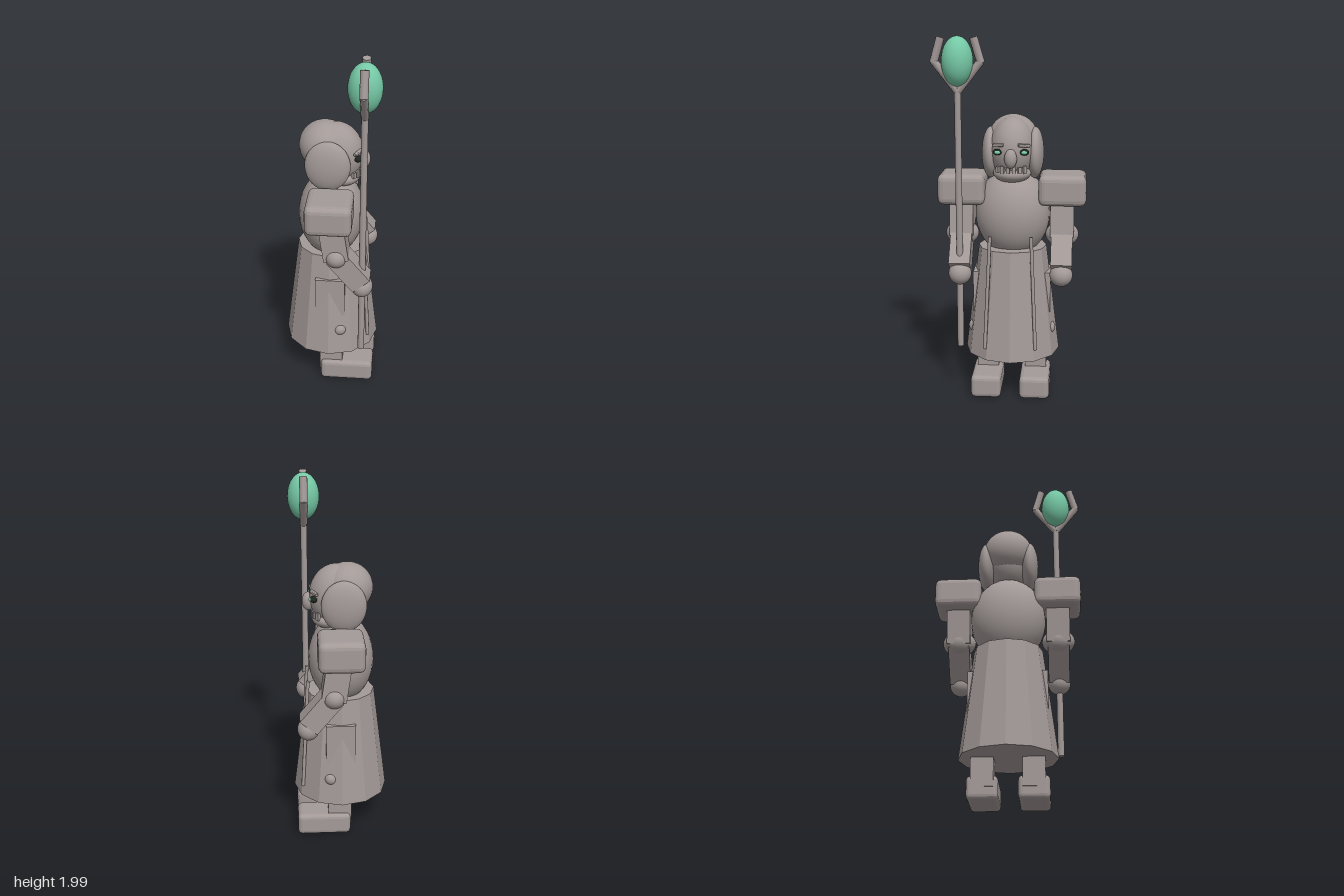
import * as THREE from 'three';
import { RoundedBoxGeometry } from 'three/addons/geometries/RoundedBoxGeometry.js';

const mat = (name, color) => {
  const m = new THREE.MeshStandardMaterial({ color });
  m.name = name;
  return m;
};

export function createModel() {
  const stone = mat('warm grey stone', 0xa39a98);
  const jade = mat('jade green', 0x76c9a6);
  const dark = mat('dark eye', 0x1d2422);

  const model = new THREE.Group();
  model.name = 'staffBearer';
  const MID = -0.0075; // the body's symmetry plane in z
  const body = new THREE.Group();
  body.name = 'body';
  body.position.z = MID;
  model.add(body);

  // Helpers
  const flat = (g) => {
    const f = g.index ? g.toNonIndexed() : g;
    f.computeVertexNormals();
    return f;
  };
  function add(parent, name, geo, material, x, y, z) {
    const m = new THREE.Mesh(geo, material);
    m.name = name;
    m.position.set(x, y, z);
    parent.add(m);
    return m;
  }
  const ball = (parent, name, p, r, material = stone) => {
    const g = new THREE.SphereGeometry(1, 32, 20).scale(...r);
    return add(parent, name, g, material, ...p);
  };
  const box = (parent, name, p, s, material = stone) =>
    add(parent, name, new THREE.BoxGeometry(...s), material, ...p);
  const chamferBox = (parent, name, p, s, r) =>
    add(parent, name, flat(new RoundedBoxGeometry(...s, 2, r)), stone, ...p);
  // A rod or box limb running from a to b
  function between(parent, name, a, b, makeGeo) {
    const va = new THREE.Vector3(...a), vb = new THREE.Vector3(...b);
    const dir = vb.clone().sub(va);
    const mid = va.clone().add(vb).multiplyScalar(0.5);
    const m = add(parent, name, makeGeo(dir.length()), stone, mid.x, mid.y, mid.z);
    m.quaternion.setFromUnitVectors(new THREE.Vector3(0, 1, 0), dir.normalize());
    return m;
  }
  const rod = (r, sides = 10) => (len) => new THREE.CylinderGeometry(r, r, len, sides);

  // Torso and twelve-sided robe skirt
  ball(body, 'torso', [-0.01, 1.02, 0], [0.182, 0.248, 0.208]);
  add(body, 'robeSkirt', flat(new THREE.CylinderGeometry(0.19, 0.266, 0.61, 12)), stone, -0.006, 0.53, 0);

  for (const s of [1, -1]) {
    const side = s > 0 ? 'near' : 'far';
    const part = (n) => side + n;

    // Legs and feet
    box(body, part('Leg'), [0.005, 0.2, s * 0.135], [0.13, 0.26, 0.12]);
    chamferBox(body, part('Foot'), [0.095, 0.069, s * 0.135], [0.3, 0.126, 0.167], 0.025);

    // Arm: pauldron, upper arm, elbow, forearm, hand
    const z = s * 0.277;
    chamferBox(body, part('Pauldron'), [0.004, 1.166, z], [0.248, 0.17, 0.26], 0.035);
    between(body, part('UpperArm'), [0.005, 1.18, z], [0.045, 0.9, z],
      (len) => new THREE.BoxGeometry(0.135, len, 0.13));
    ball(body, part('Elbow'), [0.042, 0.912, z], [0.07, 0.07, 0.092]);
    between(body, part('Forearm'), [0.04, 0.915, z], [0.181, 0.745, z],
      (len) => new THREE.BoxGeometry(0.12, len, 0.117));
    ball(body, part('Hand'), [0.181, 0.716, z], [0.06, 0.063, 0.063]);

    // Robe trim cord, side pocket and hip stud
    between(body, part('RobeCord'), [0.178, 0.925, s * 0.112], [0.213, 0.29, s * 0.14], rod(0.01, 8));
    box(body, part('Pocket'), [0, 0.58, s * 0.199], [0.165, 0.23, 0.035]);
    ball(body, part('HipStud'), [0.056, 0.37, s * 0.208], [0.038, 0.038, 0.038]);

    // Side hair
    ball(body, part('SideHair'), [-0.02, 1.357, s * 0.122], [0.123, 0.142, 0.05]);

    // Eye, iris and angry brow
    ball(body, part('Eye'), [0.14, 1.384, s * 0.072], [0.022, 0.017, 0.026], dark);
    ball(body, part('Iris'), [0.155, 1.384, s * 0.072], [0.012, 0.01, 0.016], jade);
    const brow = chamferBox(body, part('Brow'), [0.139, 1.42, s * 0.07], [0.018, 0.018, 0.07], 0.005);
    brow.rotation.set(s * 0.12, -s * 0.5, 0);
  }

  // Head, crown hair, jaw and nose
  ball(body, 'head', [0.012, 1.385, 0], [0.152, 0.175, 0.125]);
  ball(body, 'crownHair', [-0.045, 1.43, 0], [0.14, 0.136, 0.14]);
  ball(body, 'jaw', [0.05, 1.255, 0], [0.1, 0.052, 0.104]);
  ball(body, 'nose', [0.168, 1.352, 0], [0.034, 0.052, 0.034]);

  // Teeth set around the curve of the mouth
  for (let i = 0; i < 6; i++) {
    const a = (i - 2.5) * 0.27;
    const tooth = box(body, 'tooth', [0.022 + 0.122 * Math.cos(a), 1.285, 0.115 * Math.sin(a)],
      [0.02, i % 2 ? 0.032 : 0.042, 0.02]);
    tooth.rotation.y = -a;
  }

  // Staff with a forked head holding the orb
  const staff = new THREE.Group();
  staff.name = 'staff';
  staff.position.set(0.182, 0, 0.27);
  model.add(staff);
  between(staff, 'staffShaft', [0, 0.295, 0], [0, 1.72, 0], rod(0.018, 12));
  ball(staff, 'orb', [0, 1.866, 0], [0.088, 0.131, 0.084], jade);
  for (const s of [1, -1]) {
    between(staff, 'prongLower', [0, 1.71, 0], [0, 1.868, s * 0.124], rod(0.021, 8));
    between(staff, 'prongUpper', [0, 1.858, s * 0.124], [0, 1.99, s * 0.086], rod(0.022, 8));
  }
  return model;
}
